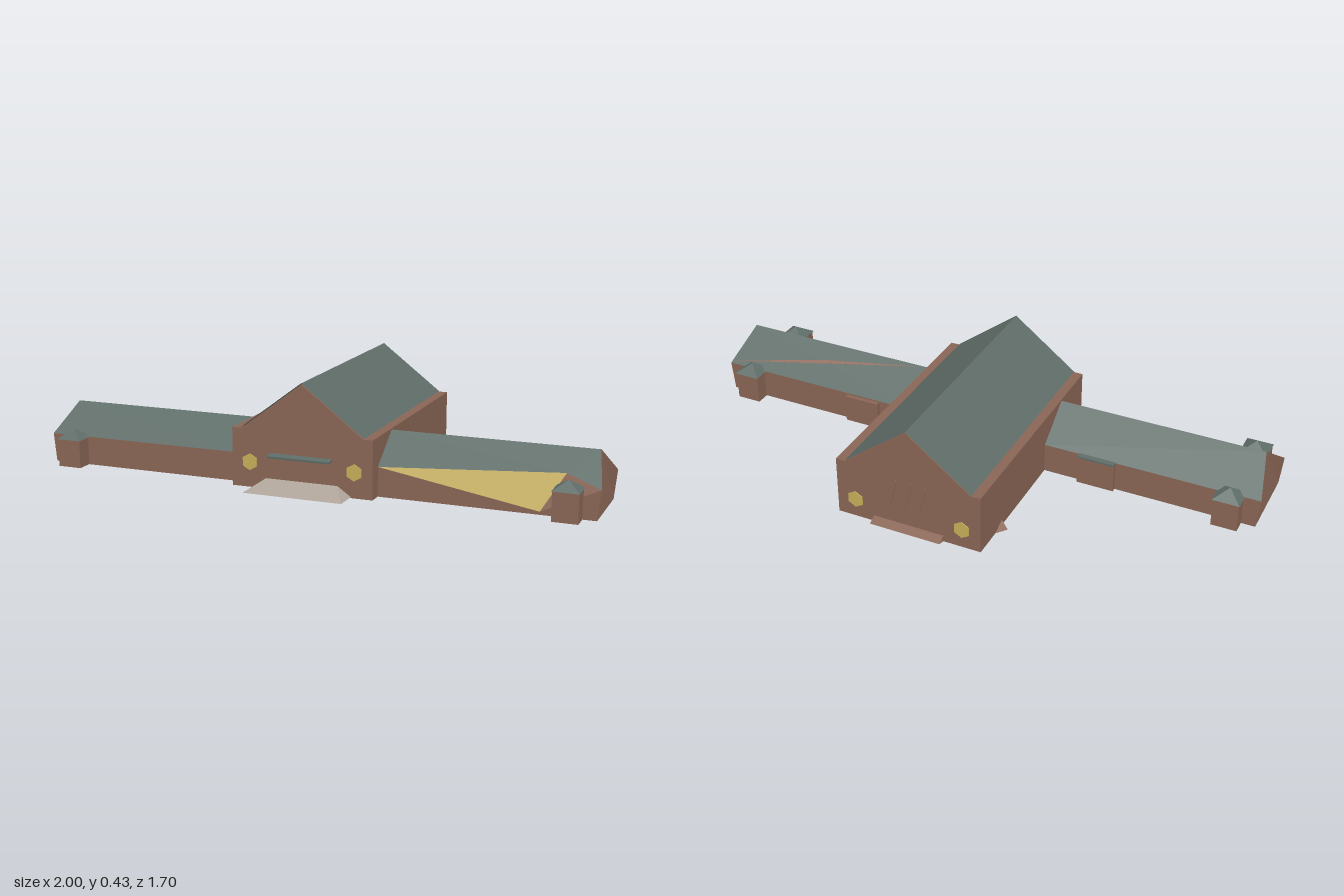
import * as THREE from 'three';

const mat = (name, color) => {
  const m = new THREE.MeshStandardMaterial({ color, side: THREE.DoubleSide, flatShading: true });
  m.name = name;
  return m;
};

export function createModel() {
  const brick = mat('brown brick', 0x8a6656);
  const slate = mat('grey green slate', 0x5f6d68);
  const glow = mat('yellow window', 0xc6ae58);
  const stone = mat('pale stone', 0xada399);

  const model = new THREE.Group();
  model.name = 'hallWithWings';

  const add = (parent, name, geometry, material, x = 0, y = 0, z = 0) => {
    const mesh = new THREE.Mesh(geometry, material);
    mesh.name = name;
    mesh.position.set(x, y, z);
    parent.add(mesh);
    return mesh;
  };

  // flat convex panels, each a loop of corners
  const panels = (parent, name, material, loops) => {
    const pos = [];
    for (const p of loops)
      for (let i = 1; i < p.length - 1; i++) pos.push(...p[0], ...p[i], ...p[i + 1]);
    const g = new THREE.BufferGeometry();
    g.setAttribute('position', new THREE.Float32BufferAttribute(pos, 3));
    g.computeVertexNormals();
    return add(parent, name, g, material);
  };

  const box = (parent, name, material, w, h, d, x, y, z) =>
    add(parent, name, new THREE.BoxGeometry(w, h, d), material, x, y + h / 2, z);

  // Main hall: walls with a narrow ledge and gables, extruded front to back
  const W = 0.293, R = 0.254, L = 0.468, EAVE = 0.235, TOP = 0.428;
  const hall = new THREE.Group();
  hall.name = 'mainHall';
  model.add(hall);
  const profile = new THREE.Shape([
    [-W, 0], [W, 0], [W, EAVE], [R, EAVE], [0, TOP], [-R, EAVE], [-W, EAVE],
  ].map(p => new THREE.Vector2(...p)));
  add(hall, 'hallWalls', new THREE.ExtrudeGeometry(profile, { depth: 2 * L, bevelEnabled: false }), brick, 0, 0, -L);
  panels(hall, 'hallRoof', slate, [-1, 1].map(s => [
    [0, TOP + 0.004, L], [s * (R + 0.003), EAVE + 0.002, L],
    [s * (R + 0.003), EAVE + 0.002, -L], [0, TOP + 0.004, -L],
  ]));

  // Six-sided windows in both gable walls
  for (const [z, y] of [[L, 0.102], [-L, 0.077]])
    for (const s of [-1, 1]) {
      const win = add(hall, 'gableWindow', new THREE.CylinderGeometry(0.034, 0.034, 0.008, 6), glow, s * 0.218, y, z);
      win.rotation.x = Math.PI / 2;
    }

  // Front entrance: sloping stone apron and a small canopy
  panels(hall, 'entranceApron', stone, [
    [[-0.15, 0.042, L], [0.15, 0.042, L], [0.205, 0.004, 0.569], [-0.205, 0.004, 0.569]],
    [[-0.15, 0.042, L], [-0.205, 0.004, 0.569], [-0.205, 0.004, L]],
    [[0.15, 0.042, L], [0.205, 0.004, 0.569], [0.205, 0.004, L]],
  ]);
  const canopy = box(hall, 'entranceCanopy', slate, 0.26, 0.008, 0.04, 0, 0.136, 0.486);
  canopy.rotation.x = 0.1;

  // Back step, slanted slats and a small side wedge
  panels(hall, 'backStep', brick, [
    [[-0.143, 0.025, -L], [0.143, 0.025, -L], [0.143, 0.01, -0.502], [-0.143, 0.01, -0.502]],
    [[-0.143, 0, -L], [0.143, 0, -L], [0.143, 0.01, -0.502], [-0.143, 0.01, -0.502]],
  ]);
  for (let i = -1; i <= 1; i++) {
    const slat = box(hall, 'backSlat', brick, 0.008, 0.12, 0.006, i * 0.06, 0.095, -L);
    slat.rotation.z = 0.26;
  }
  panels(hall, 'sideWedge', brick, [
    [[-W, 0, -0.345], [-0.33, 0.01, -0.317], [-W, 0.025, -0.29]],
    [[-W, 0, -0.345], [-0.33, 0.01, -0.317], [-W, 0, -0.29]],
  ]);

  // Low wings on either side; the +x one has a slanted glowing panel
  const Z0 = 0.10, Z1 = 0.41, ZM = 0.255, H = 0.118, RIDGE = 0.23;
  for (const s of [-1, 1]) {
    const wing = new THREE.Group();
    wing.name = s > 0 ? 'leftWing' : 'rightWing';
    model.add(wing);
    const P = (x, y, z) => [s * x, y, z];
    const innerFront = P(W, H, Z1), innerBack = P(W, H, Z0);
    const outerFront = P(1.15, H, Z1), outerBack = P(1.15, H, Z0);
    const baseFront = P(1.138, 0, Z1), baseBack = P(1.138, 0, Z0);
    const ridgeIn = P(W, RIDGE, ZM), ridgeOut = P(1.113, RIDGE, ZM);
    const high = P(1.01, 0.155, 0.358), low = P(0.926, 0.012, Z1);

    const walls = [
      [innerBack, outerBack, baseBack, P(W, 0, Z0)],
      [ridgeOut, outerBack, baseBack],
      [ridgeOut, baseBack, baseFront],
      [ridgeOut, baseFront, outerFront],
    ];
    const roof = [[innerBack, ridgeIn, ridgeOut, outerBack]];
    if (s > 0) {
      walls.push([innerFront, P(W, 0, Z1), low], [low, P(W, 0, Z1), baseFront],
        [low, baseFront, outerFront], [low, outerFront, high]);
      roof.push([ridgeIn, innerFront, high], [ridgeIn, high, ridgeOut], [ridgeOut, high, outerFront]);
      panels(wing, 'slantedWindow', glow, [[innerFront, high, low]]);
      // thin seam crossing the back slope
      panels(wing, 'roofSeam', brick, [[
        P(0.32, RIDGE - 0.001, ZM - 0.004), P(0.75, 0.187, 0.186), P(1.14, 0.127, 0.105), P(0.75, 0.177, 0.172),
      ]]);
    } else {
      walls.push([innerFront, P(W, 0, Z1), baseFront, outerFront]);
      roof.push([innerFront, ridgeIn, ridgeOut, outerFront]);
    }
    panels(wing, 'wingWalls', brick, walls);
    panels(wing, 'wingRoof', slate, roof);

    // Small bay on the back wall
    box(wing, 'bayWalls', brick, 0.148, 0.112, 0.05, s * 0.51, 0, 0.107);
    if (s < 0) box(wing, 'bayRoof', slate, 0.15, 0.008, 0.054, s * 0.51, 0.112, 0.107);

    // Corner turrets with pyramid roofs
    for (const z of [0.091, 0.432]) {
      box(wing, 'turretWalls', brick, 0.1, 0.115, 0.094, s * 1.034, 0, z);
      const cap = new THREE.ConeGeometry(0.106 * Math.SQRT1_2, 0.036, 4);
      cap.rotateY(Math.PI / 4);
      add(wing, 'turretRoof', cap, slate, s * 1.034, 0.133, z);
    }
  }

  // The whole building stands at an angle on its plot
  model.rotation.y = -0.669;
  model.position.set(0.158, 0, -0.21);
  const root = new THREE.Group();
  root.name = 'building';
  root.add(model);
  return root;
}
